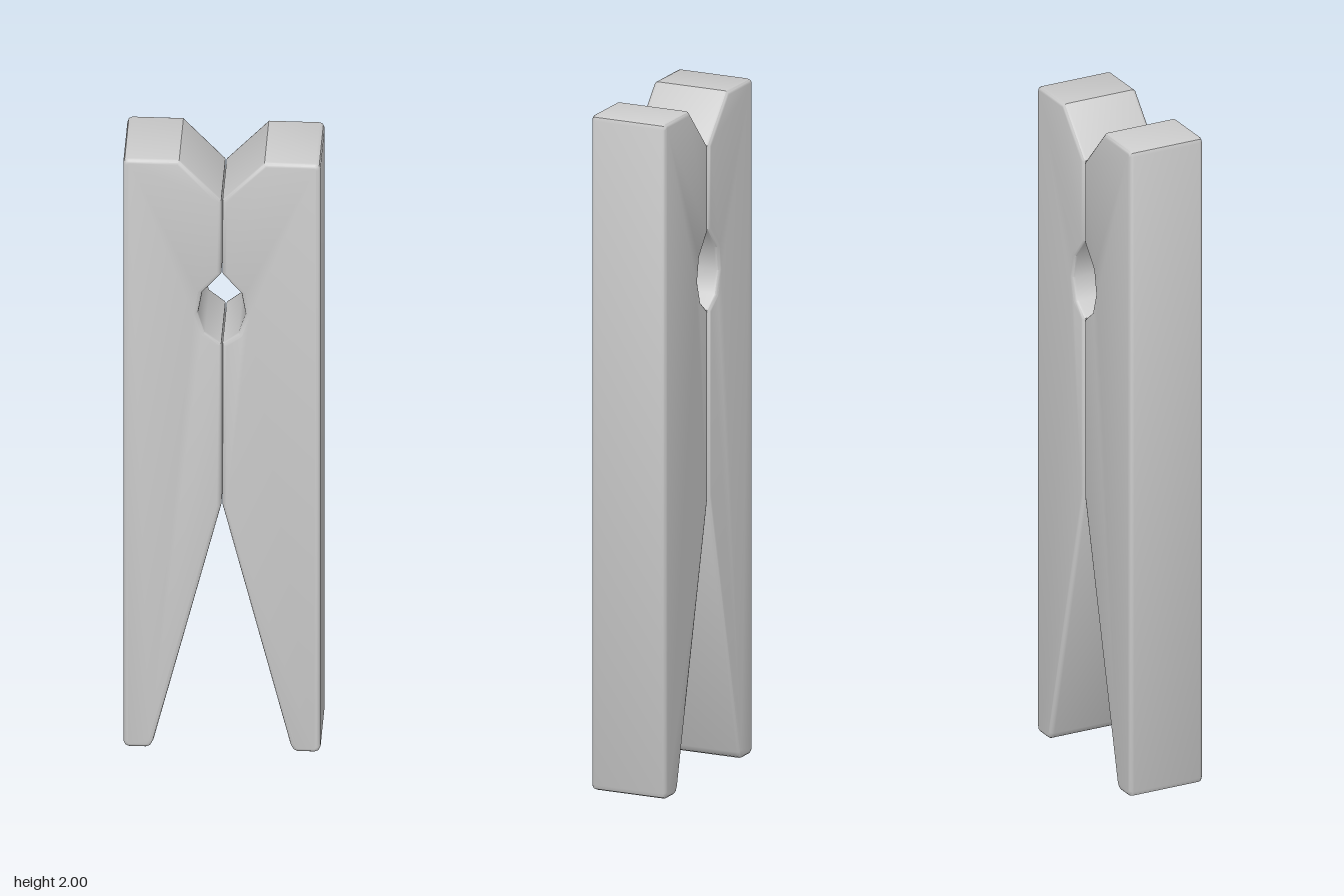
import * as THREE from 'three';
import { toCreasedNormals } from 'three/addons/utils/BufferGeometryUtils.js';

const DEPTH = 0.236;
const BEVEL = 0.012;

// Outline of the half on +x, from the crotch round the leg and back down the inner edge
const OUTLINE = [
  [0.002, 0.83],
  [0.196, 0.022], [0.204, 0.006], [0.216, 0], // inner toe
  [0.266, 0], [0.277, 0.005], [0.282, 0.018], // outer toe
  [0.282, 1.984], [0.278, 1.995], [0.268, 2], // top corner
  [0.122, 2], [0.002, 1.868],                 // sloped mouth
  [0.002, 1.618], [0.056, 1.553], [0.068, 1.483], [0.048, 1.418], [0.002, 1.38], // finger notch
];

function makeHalf(side) {
  const shape = new THREE.Shape(OUTLINE.map(([x, y]) => new THREE.Vector2(side * x, y)));
  const geometry = new THREE.ExtrudeGeometry(shape, {
    depth: DEPTH - 2 * BEVEL,
    bevelEnabled: true,
    bevelThickness: BEVEL,
    bevelSize: BEVEL,
    bevelOffset: -BEVEL,
    bevelSegments: 3,
  });
  geometry.translate(0, 0, BEVEL - DEPTH / 2);
  return toCreasedNormals(geometry, 0.65);
}

export function createModel() {
  const group = new THREE.Group();
  group.name = 'clothespin';
  const material = new THREE.MeshStandardMaterial({ color: 0xcccccc });
  // Two mirrored wooden halves
  for (const [name, side] of [['leftHalf', 1], ['rightHalf', -1]]) {
    const half = new THREE.Mesh(makeHalf(side), material);
    half.name = name;
    group.add(half);
  }
  return group;
}
